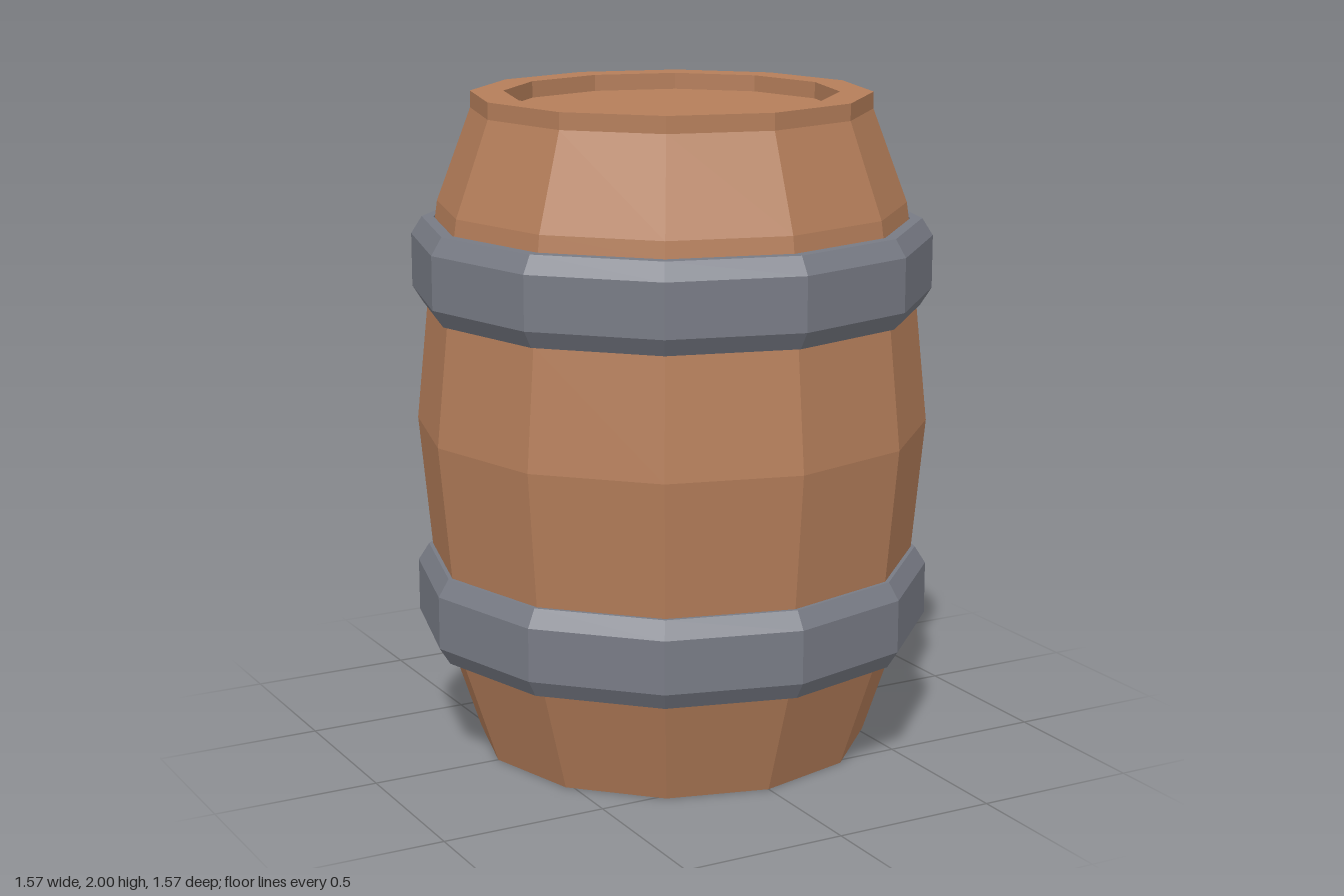
import * as THREE from 'three';

const SIDES = 12;

// Low-poly turned part from [radius, height] pairs, running up the outside
function turned(name, profile, material) {
  const points = profile.map(([r, y]) => new THREE.Vector2(r, y));
  const mesh = new THREE.Mesh(new THREE.LatheGeometry(points, SIDES), material);
  mesh.name = name;
  return mesh;
}

export function createModel() {
  const wood = new THREE.MeshStandardMaterial({ color: 0xb57e5a, flatShading: true });
  wood.name = 'wood';
  const iron = new THREE.MeshStandardMaterial({ color: 0x787b85, flatShading: true });
  iron.name = 'iron';

  const barrel = new THREE.Group();
  barrel.name = 'barrel';

  // Bulging body with a raised rim and a recessed lid
  barrel.add(turned('body', [
    [0, 0], [0.6, 0], [0.71, 0.33], [0.74, 0.6], [0.777, 1],
    [0.74, 1.36], [0.712, 1.62], [0.705, 1.67], [0.6, 1.95], [0.6, 2],
    [0.5, 2], [0.5, 1.95], [0, 1.95],
  ], wood));

  // Two bevelled hoops
  const hoopProfile = [
    [0.717, -0.132], [0.752, -0.132], [0.785, -0.08], [0.785, 0.08],
    [0.752, 0.132], [0.717, 0.132], [0.717, -0.132],
  ];
  for (const [name, y] of [['lowerHoop', 0.465], ['upperHoop', 1.49]]) {
    const hoop = turned(name, hoopProfile, iron);
    hoop.position.y = y;
    barrel.add(hoop);
  }
  return barrel;
}
